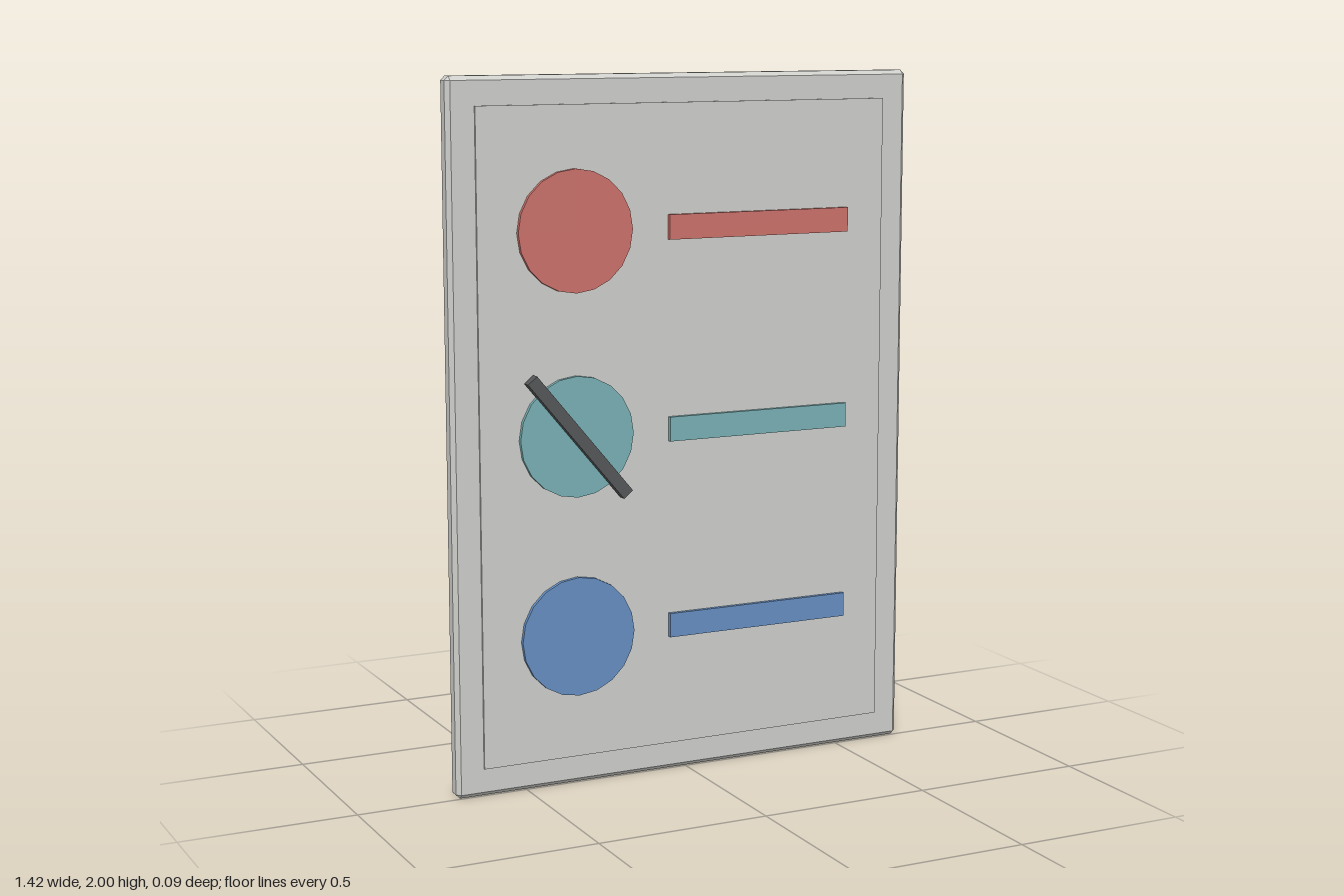
import * as THREE from 'three';
import { ConvexGeometry } from 'three/addons/geometries/ConvexGeometry.js';

function material(name, color) {
  const m = new THREE.MeshStandardMaterial({ color });
  m.name = name;
  return m;
}

// Box with every edge and corner cut by a flat chamfer
function chamferedBox(w, h, d, c) {
  const points = [];
  for (const sx of [-1, 1]) for (const sy of [-1, 1]) for (const sz of [-1, 1]) {
    const x = w / 2, y = h / 2, z = d / 2;
    points.push(
      new THREE.Vector3(sx * x, sy * (y - c), sz * (z - c)),
      new THREE.Vector3(sx * (x - c), sy * y, sz * (z - c)),
      new THREE.Vector3(sx * (x - c), sy * (y - c), sz * z));
  }
  return new ConvexGeometry(points);
}

export function createModel() {
  const model = new THREE.Group();
  model.name = 'signBoard';
  const grey = material('panel grey', 0xcfcfcc);
  const dark = material('dark grey', 0x555759);
  const rows = [
    { name: 'red', y: 1.575, mat: material('red', 0xcc726b) },
    { name: 'teal', y: 1.003, mat: material('teal', 0x79b1b5) },
    { name: 'blue', y: 0.432, mat: material('blue', 0x668fc2) },
  ];

  function add(name, geometry, mat, x, y, z) {
    const mesh = new THREE.Mesh(geometry, mat);
    mesh.name = name;
    mesh.position.set(x, y, z);
    model.add(mesh);
    return mesh;
  }

  // Board with a slightly raised face plate
  add('board', chamferedBox(1.42, 2, 0.052, 0.012), grey, 0, 1, -0.021);
  add('facePlate', new THREE.BoxGeometry(1.26, 1.84, 0.012), grey, 0, 1, 0.005);

  // One disc and one label strip per row
  const disc = new THREE.CylinderGeometry(0.171, 0.171, 0.018, 20).rotateX(Math.PI / 2);
  const strip = new THREE.BoxGeometry(0.57, 0.07, 0.018);
  for (const { name, y, mat } of rows) {
    add(name + 'Disc', disc, mat, -0.344, y, 0.014);
    add(name + 'Strip', strip, mat, 0.226, y, 0.014);
  }

  // Diagonal bar across the middle disc
  const bar = add('slashBar', new THREE.BoxGeometry(0.447, 0.035, 0.027), dark, -0.344, 1.003, 0.0335);
  bar.rotation.z = THREE.MathUtils.degToRad(-50);

  return model;
}
